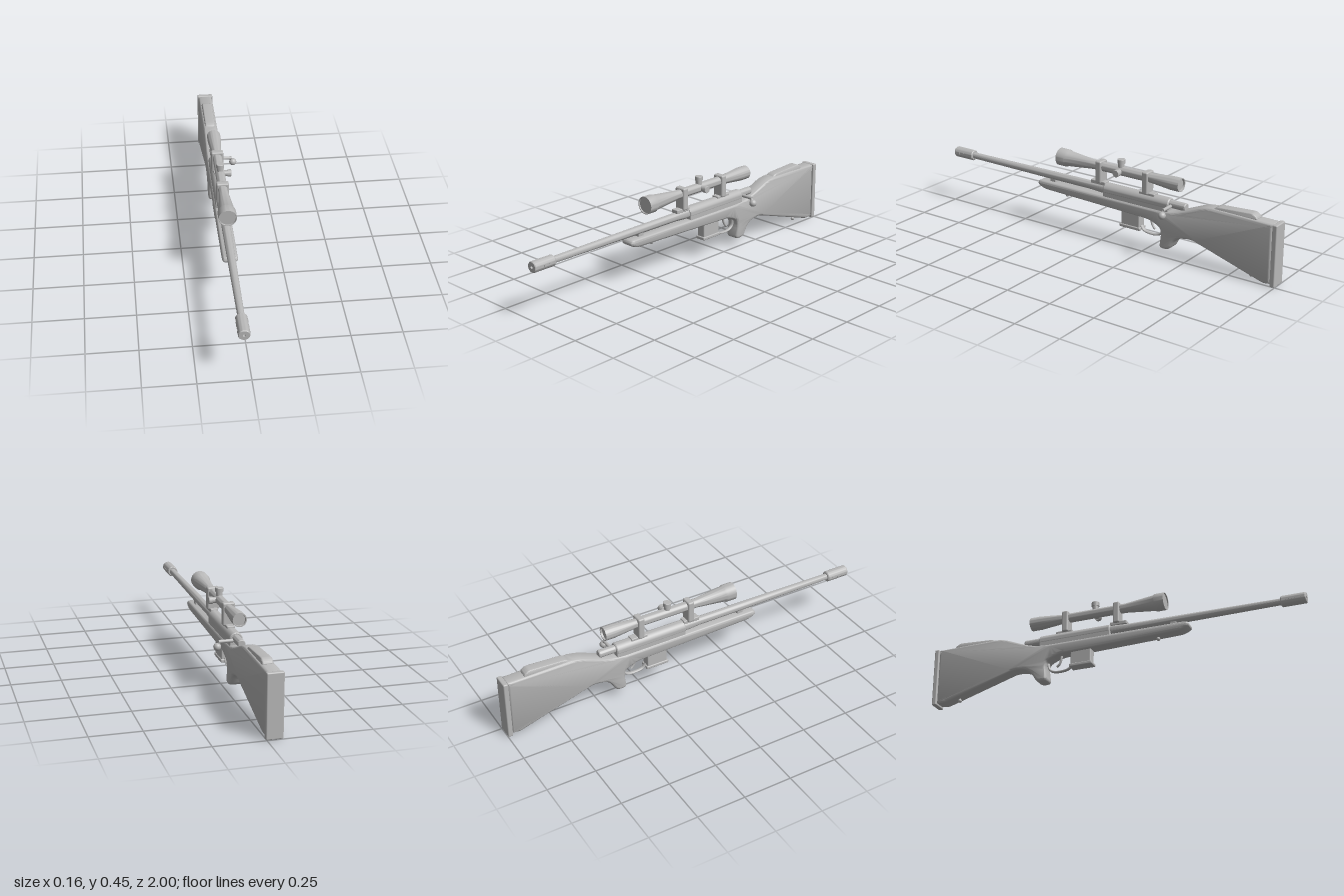
import * as THREE from 'three';
import { toCreasedNormals } from 'three/addons/utils/BufferGeometryUtils.js';
import { RoundedBoxGeometry } from 'three/addons/geometries/RoundedBoxGeometry.js';

const CX = -0.0365; // centre plane of the rifle
const BORE = 0.275; // height of the barrel axis
const SCOPE = 0.389; // height of the scope axis

// Outline of [z, y, cornerRadius] points with softened corners
function softOutline(points) {
  const shape = new THREE.Shape();
  const n = points.length;
  points.forEach(([z, y, r], i) => {
    const p = new THREE.Vector2(z, y);
    const toward = ([a, b]) => {
      const d = new THREE.Vector2(a, b).sub(p);
      return d.setLength(Math.min(r, d.length() * 0.45)).add(p);
    };
    const a = toward(points[(i + n - 1) % n]);
    const b = toward(points[(i + 1) % n]);
    if (i === 0) shape.moveTo(a.x, a.y);
    else shape.lineTo(a.x, a.y);
    shape.quadraticCurveTo(z, y, b.x, b.y);
  });
  shape.closePath();
  return shape;
}

// Side profile extruded across the width, with rounded edges
function sideExtrude(points, width, bevel) {
  const geo = new THREE.ExtrudeGeometry(softOutline(points), {
    depth: width - 2 * bevel, bevelEnabled: true, bevelThickness: bevel,
    bevelSize: bevel, bevelOffset: -bevel, bevelSegments: 4, curveSegments: 6,
  });
  geo.translate(0, 0, -(width - 2 * bevel) / 2).rotateY(-Math.PI / 2);
  return toCreasedNormals(geo, 0.6);
}

// Lathe along z from [radius, z] pairs, listed from back to front
function turned(profile, segments = 32) {
  const geo = new THREE.LatheGeometry(profile.map(([r, z]) => new THREE.Vector2(r, z)), segments);
  return toCreasedNormals(geo.rotateX(Math.PI / 2), 0.5);
}

export function createModel() {
  const model = new THREE.Group();
  const grey = new THREE.MeshStandardMaterial({ color: 0xb8b8b8 });
  grey.name = 'grey';

  const add = (name, geo, y = 0, z = 0, x = 0) => {
    const mesh = new THREE.Mesh(geo, grey);
    mesh.name = name;
    mesh.position.set(CX + x, y, z);
    model.add(mesh);
    return mesh;
  };
  const box = (name, w, h, d, y, z, r = 0.004) =>
    add(name, new RoundedBoxGeometry(w, h, d, 2, r), y, z);

  // Stock with fore-end, pistol grip and butt
  add('stock', sideExtrude([
    [0.405, 0.246, 0.02], [0.415, 0.222, 0.015], [0.375, 0.2, 0.03],
    [-0.28, 0.181, 0.03], [-0.35, 0.155, 0.03], [-0.357, 0.12, 0.02],
    [-0.347, 0.046, 0.02], [-0.405, 0.044, 0.03], [-0.445, 0.118, 0.04],
    [-0.53, 0.132, 0.03], [-0.935, 0.008, 0.02], [-0.975, 0.014, 0.005],
    [-0.975, 0.316, 0.005], [-0.61, 0.322, 0.05], [-0.44, 0.252, 0.06],
    [-0.36, 0.244, 0.03],
  ], 0.076, 0.015), 0, 0);
  box('buttPad', 0.083, 0.314, 0.026, 0.161, -0.987, 0.006);
  add('cheekRest', sideExtrude([
    [-0.64, 0.312, 0.005], [-0.665, 0.331, 0.02], [-0.86, 0.342, 0.015],
    [-0.885, 0.325, 0.01], [-0.885, 0.31, 0.005],
  ], 0.054, 0.008));

  // Barrel and slotted muzzle brake
  add('barrel', turned([
    [0, -0.02], [0.026, -0.02], [0.026, 0.02], [0.022, 0.08],
    [0.021, 0.35], [0.0165, 0.89], [0, 0.89],
  ]), BORE);
  add('muzzleBrake', turned([
    [0, 0.875], [0.024, 0.875], [0.028, 0.88], [0.028, 0.996],
    [0.025, 1], [0.007, 1], [0.007, 0.98], [0, 0.98],
  ]), BORE);
  for (const side of [-1, 1]) {
    for (const z of [0.91, 0.94, 0.97]) {
      add('brakeSlot', new THREE.BoxGeometry(0.002, 0.01, 0.018), BORE, z, side * 0.0276);
    }
  }
  box('barrelSupport', 0.032, 0.04, 0.034, 0.252, 0.327);

  // Receiver and bolt
  add('receiver', turned([
    [0, -0.395], [0.029, -0.395], [0.033, -0.39], [0.033, -0.01], [0.03, -0.005], [0, -0.005],
  ]), BORE);
  box('receiverBed', 0.062, 0.05, 0.39, 0.25, -0.2);
  add('boltShroud', turned([
    [0, -0.485], [0.017, -0.485], [0.02, -0.48], [0.02, -0.38], [0, -0.38],
  ]), 0.28);
  const rod = new THREE.CylinderGeometry(0.0085, 0.0085, 0.08, 16).rotateZ(Math.PI / 2);
  add('boltHandle', rod, BORE, -0.405, 0.051);
  const neck = new THREE.CylinderGeometry(0.007, 0.007, 0.03, 12).rotateZ(0.6);
  add('boltNeck', neck, 0.265, -0.405, 0.09);
  add('boltKnob', new THREE.SphereGeometry(0.019, 24, 16), 0.25, -0.405, 0.097);

  // Scope tube with flared ends
  add('scope', turned([
    [0, -0.442], [0.029, -0.442], [0.03, -0.452], [0.035, -0.452], [0.035, -0.4],
    [0.024, -0.28], [0.024, 0.07], [0.028, 0.11], [0.04, 0.225],
    [0.045, 0.235], [0.045, 0.285], [0.041, 0.285], [0.04, 0.279], [0, 0.279],
  ], 40), SCOPE);

  // Scope mounts: base, pillar and clamp
  for (const [ringZ, baseZ] of [[0.027, 0.035], [-0.255, -0.262]]) {
    box('mountBase', 0.04, 0.02, 0.09, 0.304, baseZ);
    box('scopeRing', 0.062, 0.116, 0.034, 0.363, ringZ, 0.008);
  }

  // Adjustment turrets on top and on the left
  const turret = [[0, 0], [0.016, 0], [0.016, 0.04], [0.02, 0.04], [0.02, 0.06], [0.0185, 0.062], [0, 0.062]]
    .map(([r, h]) => new THREE.Vector2(r, h));
  const turretGeo = () => toCreasedNormals(new THREE.LatheGeometry(turret, 24), 0.5);
  add('topTurret', turretGeo(), SCOPE, -0.096);
  add('sideTurret', turretGeo().rotateZ(-Math.PI / 2).scale(0.92, 0.92, 0.92), SCOPE, -0.1);

  // Magazine
  box('magazine', 0.047, 0.09, 0.11, 0.155, -0.167, 0.005);
  box('magazineFloor', 0.057, 0.017, 0.124, 0.111, -0.167, 0.005);

  // Trigger and guard, bent in the side plane
  const bent = (name, pts, radius, widen) => {
    const curve = new THREE.CatmullRomCurve3(pts.map(([z, y]) => new THREE.Vector3(0, y, z)));
    add(name, new THREE.TubeGeometry(curve, 32, radius, 10).scale(widen, 1, 1));
  };
  bent('triggerGuard', [
    [-0.222, 0.125], [-0.24, 0.104], [-0.275, 0.096], [-0.32, 0.099], [-0.345, 0.115], [-0.354, 0.15],
  ], 0.006, 1.7);
  bent('trigger', [[-0.28, 0.185], [-0.284, 0.155], [-0.294, 0.135], [-0.306, 0.124]], 0.006, 1.1);

  // Sling studs under the fore-end and butt
  for (const [y, z] of [[0.186, 0.243], [0.022, -0.855]]) {
    add('slingStud', new THREE.SphereGeometry(0.01, 16, 10), y, z);
    add('slingStudPost', new THREE.CylinderGeometry(0.005, 0.005, 0.03, 10), y + 0.012, z);
  }

  return model;
}
